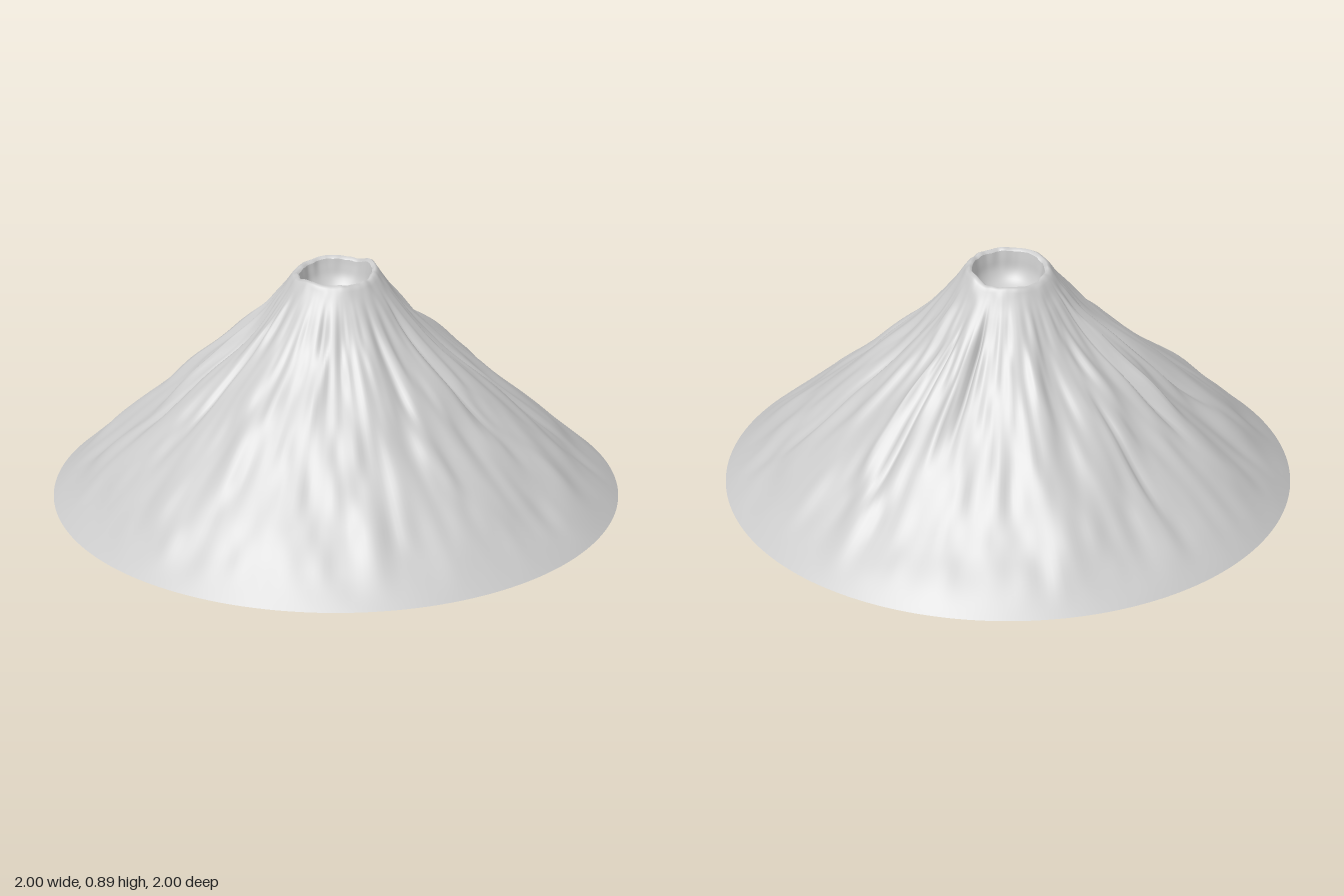
import * as THREE from 'three';

const SEGMENTS = 288;
const smooth = THREE.MathUtils.smoothstep;

// Repeatable hash and smooth noise that wraps around the cone
function hash(i, j, seed) {
  const s = Math.sin(i * 127.1 + j * 311.7 + seed * 74.7) * 43758.5453;
  return (s - Math.floor(s)) * 2 - 1;
}
function noise(angle, v, cells, seed) {
  const u = (angle / (Math.PI * 2) + 1) * cells;
  const i = Math.floor(u), j = Math.floor(v);
  const fu = smooth(u - i, 0, 1), fv = smooth(v - j, 0, 1);
  const h = (a, b) => hash((i + a) % cells, j + b, seed);
  return THREE.MathUtils.lerp(
    THREE.MathUtils.lerp(h(0, 0), h(1, 0), fu),
    THREE.MathUtils.lerp(h(0, 1), h(1, 1), fu), fv);
}

// Gullies (negative) and ridges (positive): angle, inner radius, outer radius, half width, height
const features = [
  [-1.24, 0.2, 0.52, 0.03, -0.028], [-1.13, 0.25, 0.6, 0.035, 0.02],
  [-0.9, 0.25, 0.75, 0.025, -0.018], [-0.78, 0.3, 0.7, 0.03, 0.014],
  [-0.2, 0.3, 0.8, 0.03, -0.015], [-2.84, 0.18, 0.65, 0.025, -0.022],
  [-2.95, 0.25, 0.6, 0.04, 0.025], [2.98, 0.2, 0.7, 0.03, -0.02],
  [3.1, 0.28, 0.62, 0.035, 0.018], [2.6, 0.2, 0.6, 0.03, -0.018],
  [-2.4, 0.45, 0.8, 0.025, -0.014], [0.35, 0.2, 0.6, 0.025, -0.012],
];

// Outward push of the eroded flank at an angle and radius
function erosion(angle, r) {
  const fade = smooth(r, 0.15, 0.3) * (1 - smooth(r, 0.82, 1));
  let d = 0.010 * noise(angle, r * 4, 24, 1)
    + 0.010 * noise(angle, r * 5, 56, 2)
    + 0.005 * noise(angle, r * 9, 96, 3);
  for (const [a, r0, r1, width, height] of features) {
    const off = Math.atan2(Math.sin(angle - a), Math.cos(angle - a)) / width;
    const along = smooth(r, r0 - 0.06, r0 + 0.1) * (1 - smooth(r, r1 - 0.12, r1 + 0.06));
    d += height * Math.exp(-off * off) * along;
  }
  return d * fade;
}

// Sweep a profile of [radius, height] around the axis and roughen it
function sweep(name, profile, rows, material) {
  const curve = new THREE.SplineCurve(profile.map(([r, y]) => new THREE.Vector2(r, y)));
  const position = [], index = [];
  for (let i = 0; i <= rows; i++) {
    const p = curve.getPointAt(i / rows);
    const rim = smooth(p.y, 0.77, 0.86);
    for (let j = 0; j < SEGMENTS; j++) {
      const a = (j / SEGMENTS) * Math.PI * 2;
      const d = erosion(a, p.x);
      const r = p.x + d * 0.7 + rim * (0.007 * noise(a, 0, 9, 5) + 0.003 * noise(a, p.x * 30, 30, 6));
      const y = p.y + d * 0.7 + rim * (0.010 * noise(a, 0, 11, 7) + 0.003 * noise(a, p.x * 30, 36, 8));
      position.push(r * Math.cos(a), Math.max(0, y), r * Math.sin(a));
      if (i < rows) {
        const k = i * SEGMENTS, n = (j + 1) % SEGMENTS;
        index.push(k + j, k + n, k + SEGMENTS + j);
        index.push(k + n, k + SEGMENTS + n, k + SEGMENTS + j);
      }
    }
  }
  const geometry = new THREE.BufferGeometry();
  geometry.setAttribute('position', new THREE.Float32BufferAttribute(position, 3));
  geometry.setIndex(index);
  geometry.computeVertexNormals();
  const mesh = new THREE.Mesh(geometry, material);
  mesh.name = name;
  return mesh;
}

export function createModel() {
  const group = new THREE.Group();
  group.name = 'volcano';
  const rock = new THREE.MeshStandardMaterial({ color: 0xcccccc, side: THREE.DoubleSide });

  // Bowl inside the summit
  group.add(sweep('crater', [
    [0, 0.74], [0.05, 0.745], [0.09, 0.765], [0.115, 0.80], [0.125, 0.84], [0.13, 0.867],
  ], 20, rock));

  // Rim lip and flanks, open underneath
  group.add(sweep('slopes', [
    [0.13, 0.867], [0.142, 0.877], [0.155, 0.864], [0.2, 0.795], [0.275, 0.695],
    [0.36, 0.6], [0.51, 0.46], [0.76, 0.225], [1, 0],
  ], 90, rock));

  return group;
}
